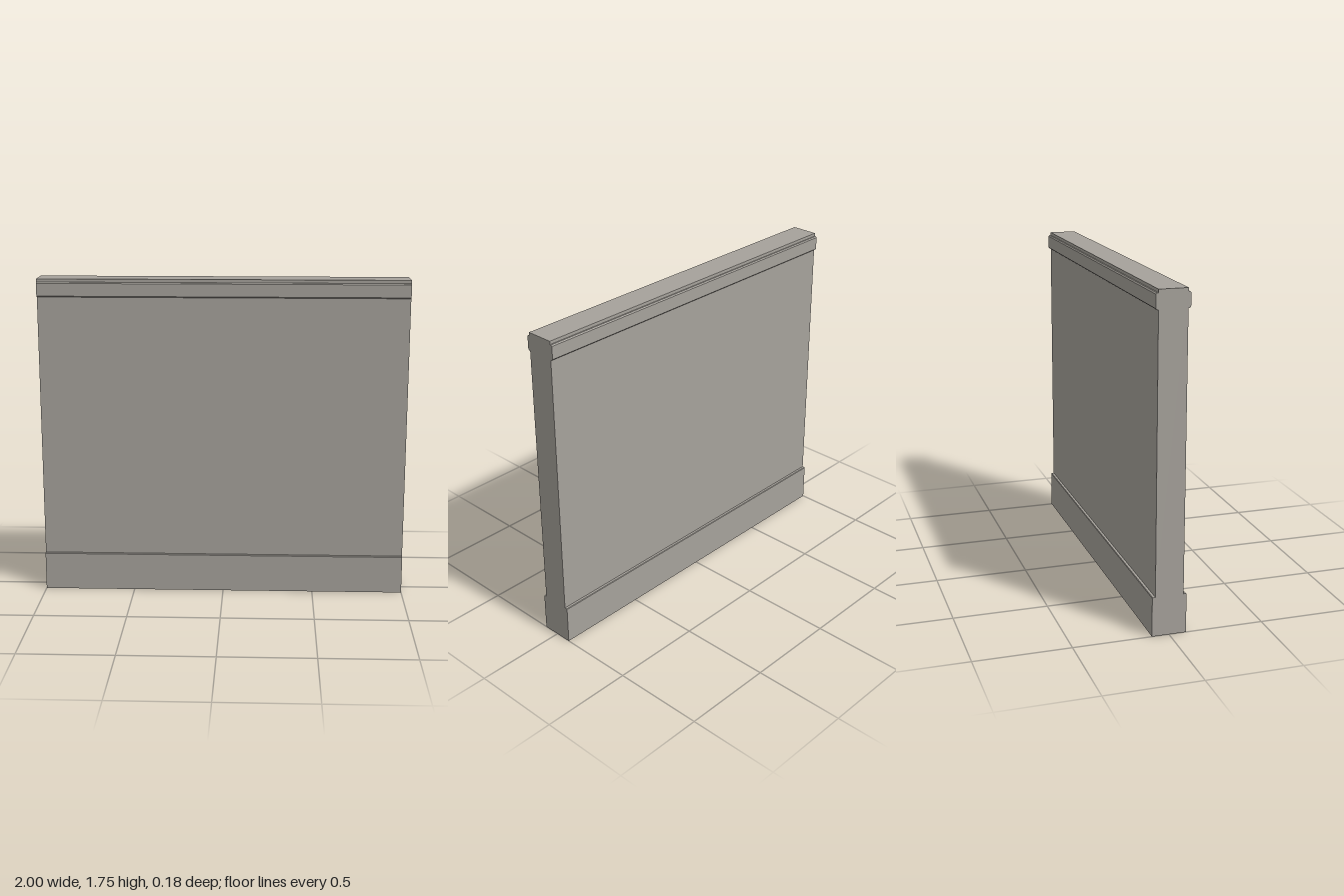
import * as THREE from 'three';

const LENGTH = 2, HEIGHT = 1.75, BASE_TOP = 0.21;
const WALL_Z = 0.074, BASE_Z = 0.09, TRIM_Z = 0.087;

export function createModel() {
  const group = new THREE.Group();
  const plaster = new THREE.MeshStandardMaterial({ color: 0xa6a29b });
  plaster.name = 'warm grey plaster';

  function add(name, geometry) {
    const mesh = new THREE.Mesh(geometry, plaster);
    mesh.name = name;
    group.add(mesh);
    return mesh;
  }

  // Extrude a (z, y) profile along the length of the wall
  function alongWall(points) {
    const shape = new THREE.Shape(points.map(([z, y]) => new THREE.Vector2(-z, y)));
    const geometry = new THREE.ExtrudeGeometry(shape, { depth: LENGTH, bevelEnabled: false });
    return geometry.translate(0, 0, -LENGTH / 2).rotateY(Math.PI / 2);
  }

  // Wall panel standing on the plinth
  add('wallPanel', new THREE.BoxGeometry(LENGTH, HEIGHT - BASE_TOP, WALL_Z * 2))
    .position.y = (HEIGHT + BASE_TOP) / 2;

  // Plinth with slightly eased top edges
  const ease = 0.003;
  add('plinth', alongWall([
    [-BASE_Z, 0], [BASE_Z, 0], [BASE_Z, BASE_TOP - ease], [BASE_Z - ease, BASE_TOP],
    [-BASE_Z + ease, BASE_TOP], [-BASE_Z, BASE_TOP - ease],
  ]));

  // Chamfered trim strip below the top edge, on both faces
  const bottom = 1.653, top = 1.733, chamfer = 0.006;
  const trim = alongWall([
    [WALL_Z, bottom], [TRIM_Z - chamfer, bottom], [TRIM_Z, bottom + chamfer],
    [TRIM_Z, top - chamfer], [TRIM_Z - chamfer, top], [WALL_Z, top],
  ]);
  // The extrusion maps the profile to +z; the back strip is turned half round
  add('frontTrim', trim);
  add('backTrim', trim).rotation.y = Math.PI;

  return group;
}
